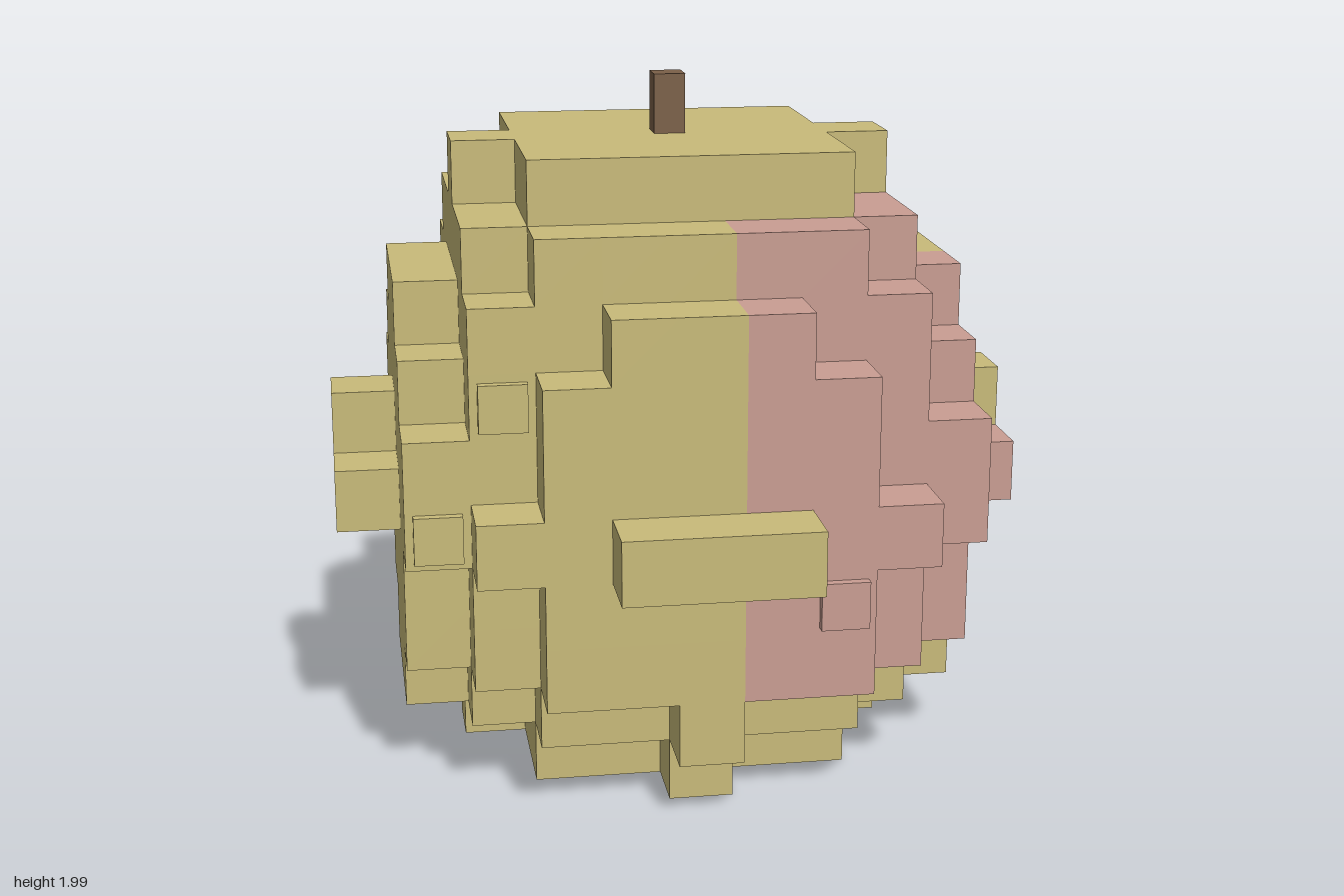
import * as THREE from 'three';
import { mergeGeometries } from 'three/addons/utils/BufferGeometryUtils.js';

const V = 2 / 11; // edge of one block

// Squared radius of each block layer, bottom to top
const LAYERS = [9.5, 17.1, 22, 22, 26.5, 25.1, 22, 19, 14, 9.05];

const filled = (i, j, k) =>
  j >= 0 && j < LAYERS.length && i * i + k * k * 1.01 <= LAYERS[j];

// Blush patch covers the front left quarter
const isBlush = (i, j, k) => i >= 1 && k >= 1 && k < 5 && j >= 2 && j <= 8;

// One outward square for each block side: direction and turn from +z
const SIDES = [
  { d: [0, 0, 1], r: [0, 0] },
  { d: [0, 0, -1], r: [0, Math.PI] },
  { d: [1, 0, 0], r: [0, Math.PI / 2] },
  { d: [-1, 0, 0], r: [0, -Math.PI / 2] },
  { d: [0, 1, 0], r: [-Math.PI / 2, 0] },
  { d: [0, -1, 0], r: [Math.PI / 2, 0] },
];

function sideFace(i, j, k, { d, r }) {
  const g = new THREE.PlaneGeometry(V, V);
  g.rotateX(r[0]);
  g.rotateY(r[1]);
  g.translate((i + d[0] / 2) * V, (j + 0.5 + d[1] / 2) * V, (k + d[2] / 2) * V);
  return g;
}

export function createModel() {
  const group = new THREE.Group();
  const material = (name, color) => {
    const m = new THREE.MeshStandardMaterial({ color });
    m.name = name;
    return m;
  };
  const skin = material('yellow green skin', 0xc9bb7a);
  const blush = material('pink blush', 0xca9e93);
  const bark = material('brown stem', 0x7b6048);

  const add = (name, geometry, mat, x = 0, y = 0, z = 0) => {
    const mesh = new THREE.Mesh(geometry, mat);
    mesh.name = name;
    mesh.position.set(x, y, z);
    group.add(mesh);
  };

  // Fruit body: only the exposed block sides, sorted by colour
  const skinFaces = [], blushFaces = [];
  for (let j = 0; j < LAYERS.length; j++)
    for (let i = -5; i <= 5; i++)
      for (let k = -5; k <= 5; k++) {
        if (!filled(i, j, k)) continue;
        const faces = isBlush(i, j, k) ? blushFaces : skinFaces;
        for (const side of SIDES) {
          const [a, b, c] = side.d;
          if (!filled(i + a, j + b, k + c)) faces.push(sideFace(i, j, k, side));
        }
      }
  add('fruitBody', mergeGeometries(skinFaces), skin);
  add('blushPatch', mergeGeometries(blushFaces), blush);

  // Small raised spots on the front
  const spot = new THREE.BoxGeometry(0.135, 0.135, 0.054);
  add('upperSpot', spot, skin, -3 * V, 6.5 * V, 3.5 * V);
  add('middleSpot', spot, skin, -4 * V, 4.5 * V, 3.5 * V);
  add('blushSpot', spot, blush, 2 * V, 3.5 * V, 4.5 * V);

  // Stem
  add('stem', new THREE.BoxGeometry(V / 2, 0.172, V / 2), bark, 0, 10 * V + 0.086, 0);

  return group;
}
